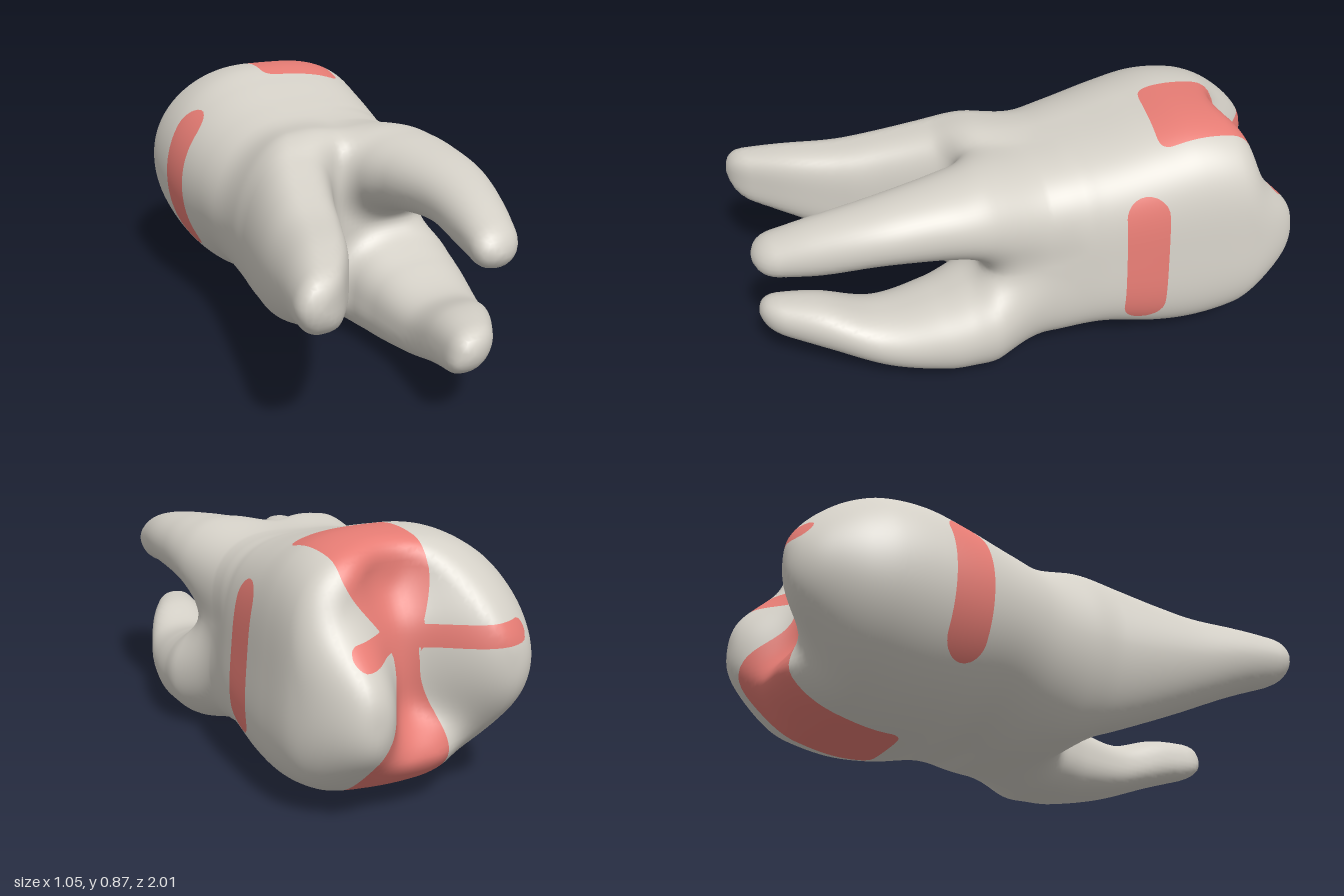
import * as THREE from 'three';

// Cross-sections along z: [z, xMin, xMax, yMin, yMax]; shear leans a section sideways,
// nL and nR set how square its left and right halves are
const CROWN = {
  nL: 2.05, nR: 3.5, shear: -0.035, sections: [
    [-1.1, -0.12, 0.37, 0.3, 0.6], [-1.0, -0.23, 0.43, 0.2, 0.65], [-0.9, -0.295, 0.475, 0.135, 0.74],
    [-0.8, -0.345, 0.505, 0.08, 0.81], [-0.7, -0.375, 0.52, 0.045, 0.855], [-0.55, -0.39, 0.51, 0.02, 0.872],
    [-0.4, -0.39, 0.49, 0.03, 0.845], [-0.2, -0.37, 0.455, 0.07, 0.8], [0, -0.35, 0.405, 0.045, 0.77],
    [0.25, -0.34, 0.38, 0.07, 0.785],
  ],
};
const ROOTS = [
  { nL: 1.85, nR: 3.6, shear: 0, sections: [
    [-0.1, -0.3, 0.1, 0.18, 0.7], [0.1, -0.355, 0.06, 0.11, 0.77], [0.2, -0.375, 0.0, 0.125, 0.76],
    [0.3, -0.395, -0.06, 0.155, 0.73], [0.45, -0.425, -0.125, 0.215, 0.69], [0.6, -0.455, -0.18, 0.28, 0.66],
    [0.8, -0.495, -0.27, 0.37, 0.645], [1, -0.54, -0.4, 0.44, 0.61]] },
  { nL: 2.1, nR: 2.1, shear: 0, sections: [
    [0, 0.03, 0.38, 0.42, 0.74], [0.2, 0.02, 0.41, 0.45, 0.79], [0.3, 0.05, 0.41, 0.495, 0.787],
    [0.4, 0.08, 0.4, 0.52, 0.78], [0.6, 0.11, 0.37, 0.54, 0.755], [0.8, 0.1, 0.31, 0.52, 0.71],
    [1, 0.07, 0.23, 0.52, 0.64]] },
  { nL: 2.6, nR: 2.1, shear: 0.015, sections: [
    [0, 0.04, 0.38, 0.07, 0.44], [0.2, 0.02, 0.465, 0.006, 0.4], [0.3, 0.035, 0.46, 0.007, 0.355],
    [0.4, 0.05, 0.44, 0.015, 0.32], [0.6, 0.055, 0.37, 0.06, 0.28], [0.8, 0.03, 0.27, 0.13, 0.33],
    [1, 0, 0.14, 0.19, 0.33]] },
];

// Rounded maximum and minimum, used to blend the parts
function smax(a, b, k) {
  const h = Math.max(k - Math.abs(a - b), 0) / k;
  return Math.max(a, b) + h * h * k / 4;
}
const smin = (a, b, k) => -smax(-a, -b, k);
const bump = (x, y, sx, sy) => Math.exp(-(((x / sx) ** 2 + (y / sy) ** 2) ** 1.4));

// Smooth interpolation of a section table at z
function sectionAt(table, z) {
  const last = table.length - 1;
  if (z <= table[0][0]) return table[0];
  if (z >= table[last][0]) return table[last];
  let i = 0;
  while (z > table[i + 1][0]) i++;
  const a = table[i], b = table[i + 1], d = b[0] - a[0], t = (z - a[0]) / d;
  const slope = (j, c) => {
    const p = table[Math.max(j - 1, 0)], q = table[Math.min(j + 1, last)];
    return (q[c] - p[c]) / (q[0] - p[0]);
  };
  return a.map((v, c) => c === 0 ? z
    : v + (b[c] - v) * t * t * (3 - 2 * t)
      + d * t * (1 - t) * ((1 - t) * slope(i, c) - t * slope(i + 1, c))
  );
}

// Approximate distance to a stack of rounded sections
function limb({ sections, nL, nR, shear }, x, y, z) {
  const [, x0, x1, y0, y1] = sectionAt(sections, z);
  const rx = (x1 - x0) / 2, ry = (y1 - y0) / 2;
  const dy = (y - (y0 + y1) / 2) / ry;
  const dx = (x - (x0 + x1) / 2 - shear * dy) / rx;
  const n = dx < 0 ? nL : nR;
  return ((Math.abs(dx) ** n + Math.abs(dy) ** n) ** (1 / n) - 1) * Math.min(rx, ry);
}

// Height of the chewing surface: two tall cusps, a rim and a dip
const chewing = (x, y) => 0.775
  + 0.23 * bump(x + 0.155, y - 0.5, 0.215, 0.3)
  + 0.2 * bump(x - 0.37, y - 0.36, 0.16, 0.23)
  + 0.125 * bump(x - 0.12, y - 0.15, 0.16, 0.14)
  - 0.055 * bump(x - 0.15, y - 0.77, 0.13, 0.13);

// Whole tooth: negative inside
function field(x, y, z) {
  let f = limb(CROWN, x, y, z);
  f = smax(f, (-chewing(x, y) - z) * 0.65, 0.06);
  f = smax(f, z - 0.22, 0.12);
  for (const root of ROOTS) {
    const r = smax(limb(root, x, y, z), z - 1.002, 0.08);
    f = smin(f, smax(r, -0.1 - z, 0.05), 0.06);
  }
  return f;
}

function gradient([x, y, z]) {
  const e = 0.006;
  return [
    (field(x + e, y, z) - field(x - e, y, z)) / (2 * e),
    (field(x, y + e, z) - field(x, y - e, z)) / (2 * e),
    (field(x, y, z + e) - field(x, y, z - e)) / (2 * e),
  ];
}

// Red marks: negative inside a marked area
function capsule(u, v, u0, v0, u1, v1, r) {
  const du = u1 - u0, dv = v1 - v0;
  const t = THREE.MathUtils.clamp(((u - u0) * du + (v - v0) * dv) / (du * du + dv * dv), 0, 1);
  return Math.hypot(u - u0 - t * du, v - v0 - t * dv) - r;
}
function marks([x, y, z]) {
  if (z > 0) return 1;
  // Side stripes
  const side = x > 0.06
    ? Math.max(capsule(y, z, 0.24, -0.335, 0.615, -0.335, 0.076), 0.3 - x)
    : Math.max(capsule(y, z, 0.28, -0.43, 0.675, -0.43, 0.078), x + 0.15);
  // Band over the crown, narrow in the middle
  const smooth = THREE.MathUtils.smoothstep;
  const w = 0.045 + 0.115 * smooth(Math.abs(y - 0.48), 0.02, 0.3);
  const c = 0.13 + 0.06 * smooth(y, 0.45, 0.8) + 0.04 * smooth(-y, -0.45, -0.15);
  const band = smax(Math.abs(x - c + 0.06 * (z + 0.6)) - w, z + 0.44 - 0.13 * (x - 0.18), 0.05);
  // Cross groove between the cusps
  const groove = Math.max(capsule(x, y, -0.17, 0.58, 0.36, 0.55, 0.036), z + 0.7);
  return Math.min(side, band, groove);
}

// Regular grid sampling of the field, joined into quads
function buildQuads() {
  const s = 0.02, origin = [-0.62, -0.08, -1.1], n = [63, 54, 110];
  const stride = [1, n[0], n[0] * n[1]];
  const values = new Float32Array(n[0] * n[1] * n[2]);
  const at = (i, j, k) => i + j * stride[1] + k * stride[2];
  const each = (fn) => {
    for (let k = 1; k < n[2] - 1; k++)
      for (let j = 1; j < n[1] - 1; j++)
        for (let i = 1; i < n[0] - 1; i++) fn(i, j, k, at(i, j, k));
  };
  values.fill(1);
  each((i, j, k, id) => {
    values[id] = field(origin[0] + i * s, origin[1] + j * s, origin[2] + k * s);
  });
  // One surface point per crossed cell, pulled onto the surface
  const cells = new Map();
  each((i, j, k, id) => {
    const sum = [0, 0, 0];
    let count = 0;
    for (let a = 0; a < 3; a++) {
      const u = (a + 1) % 3, v = (a + 2) % 3;
      for (let m = 0; m < 4; m++) {
        const o = [0, 0, 0];
        o[u] = m & 1;
        o[v] = m >> 1;
        const p = id + at(...o), f0 = values[p], f1 = values[p + stride[a]];
        if ((f0 < 0) === (f1 < 0)) continue;
        o[a] = f0 / (f0 - f1);
        o.forEach((q, b) => { sum[b] += q; });
        count++;
      }
    }
    if (!count) return;
    const p = [i, j, k].map((q, b) => origin[b] + (q + sum[b] / count) * s);
    const g = gradient(p), len2 = g[0] ** 2 + g[1] ** 2 + g[2] ** 2 + 1e-6;
    const step = THREE.MathUtils.clamp(field(...p) / len2, -0.008, 0.008);
    cells.set(id, p.map((q, b) => q - step * g[b]));
  });
  const quads = [];
  each((i, j, k, id) => {
    for (let a = 0; a < 3; a++) {
      const inside = values[id] < 0;
      if (inside === (values[id + stride[a]] < 0)) continue;
      const u = stride[(a + 1) % 3], v = stride[(a + 2) % 3];
      const quad = [id - u - v, id - v, id, id - u].map((q) => cells.get(q));
      if (quad.every(Boolean)) quads.push(inside ? quad : quad.reverse());
    }
  });
  return quads;
}

// Keep the part of a triangle on one side of the mark outline
function clip(tri, sign, out) {
  const d = tri.map((p) => marks(p) * sign), poly = [];
  tri.forEach((p, i) => {
    const j = (i + 1) % 3, q = tri[j];
    if (d[i] < 0) poly.push(p);
    if ((d[i] < 0) !== (d[j] < 0)) {
      const t = d[i] / (d[i] - d[j]);
      poly.push(p.map((c, b) => c + (q[b] - c) * t));
    }
  });
  for (let i = 2; i < poly.length; i++) out.push(poly[0], poly[i - 1], poly[i]);
}

function makeMesh(name, points, material) {
  const normals = points.map((p) => new THREE.Vector3(...gradient(p)).normalize().toArray());
  const geometry = new THREE.BufferGeometry();
  geometry.setAttribute('position', new THREE.Float32BufferAttribute(points.flat(), 3));
  geometry.setAttribute('normal', new THREE.Float32BufferAttribute(normals.flat(), 3));
  const mesh = new THREE.Mesh(geometry, material);
  mesh.name = name;
  return mesh;
}

export function createModel() {
  const ivory = new THREE.MeshStandardMaterial({ color: 0xd4d0c7, name: 'ivory' });
  const red = new THREE.MeshStandardMaterial({ color: 0xe67c74, name: 'red' });
  const plain = [], marked = [];
  for (const [a, b, c, d] of buildQuads()) {
    for (const tri of [[a, b, c], [a, c, d]]) {
      clip(tri, -1, plain);
      clip(tri, 1, marked);
    }
  }
  const tooth = new THREE.Group();
  tooth.name = 'molar';
  tooth.add(makeMesh('crownAndRoots', plain, ivory), makeMesh('redMarks', marked, red));
  return tooth;
}
